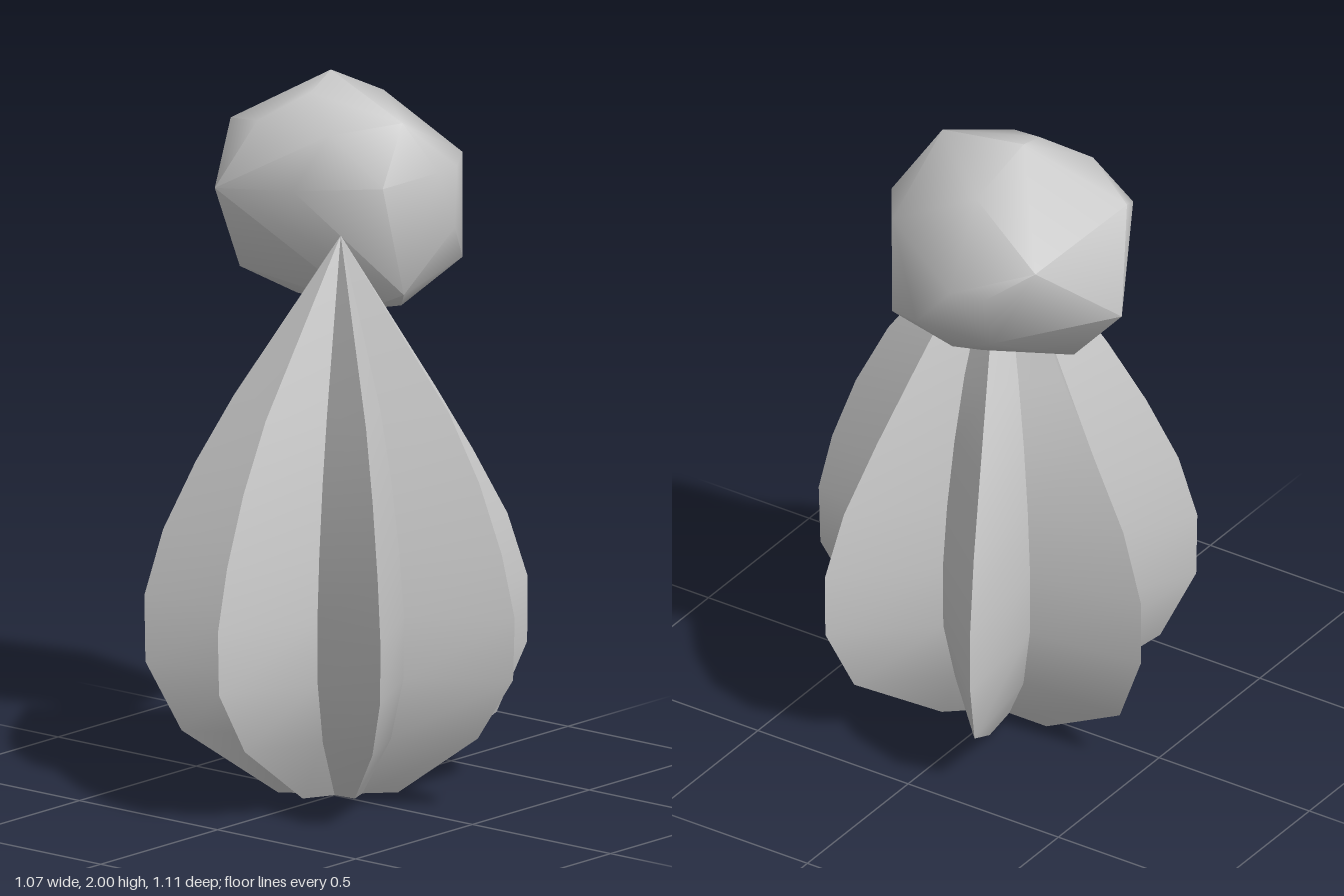
import * as THREE from 'three';
import { toCreasedNormals } from 'three/addons/utils/BufferGeometryUtils.js';
import { ConvexGeometry } from 'three/addons/geometries/ConvexGeometry.js';

const material = new THREE.MeshStandardMaterial({ color: 0xcccccc, side: THREE.DoubleSide });

// Seven-pointed ribbed body, lofted through star-shaped rings
function bodyGeometry() {
  // [y, front ridge radius, rear ridge radius, lean of the ring]
  const rings = [
    [0.022, 0.172, 0.19, 0.1],
    [0.2, 0.42, 0.485, 0.055],
    [0.39, 0.53, 0.57, 0.02],
    [0.575, 0.535, 0.57, 0],
    [0.76, 0.495, 0.5, -0.02],
    [0.955, 0.425, 0.38, -0.02],
    [1.145, 0.33, 0.26, -0.02],
  ];
  // how far each ridge follows the rear profile, from the right ridge via the front
  const rear = [0, 0, 0, 0.7, 1, 1, 0.4];
  const cx = -0.005, cz = 0.035;
  const n = rear.length * 2;
  const positions = [];
  const index = [];
  for (const [y, front, back, lean] of rings) {
    for (let i = 0; i < n; i++) {
      const a = Math.PI - (i / n) * Math.PI * 2;
      const r = i % 2 ? front * 0.525 : THREE.MathUtils.lerp(front, back, rear[i / 2]);
      const x = Math.cos(a) * r, z = Math.sin(a) * r;
      positions.push(cx + x, y + lean * (z - 0.6 * x), cz + z);
    }
  }
  const apex = positions.length / 3;
  positions.push(-0.02, 1.61, 0.04, cx, 0.025, cz);
  const last = (rings.length - 1) * n;
  for (let i = 0; i < n; i++) {
    const j = (i + 1) % n;
    for (let k = 0; k < rings.length - 1; k++) {
      const a = k * n + i, b = k * n + j;
      index.push(a, b + n, a + n, a, b, b + n);
    }
    index.push(last + i, last + j, apex);
    index.push(j, i, apex + 1);
  }
  const g = new THREE.BufferGeometry();
  g.setAttribute('position', new THREE.Float32BufferAttribute(positions, 3));
  g.setIndex(index);
  return toCreasedNormals(g, 0.85);
}

// Lumpy ball leaning against the tip of the body
function ballGeometry() {
  const corners = [
    // crown
    [0.21, 2.0, -0.19], [0.4, 1.91, -0.16], [0.1, 1.96, -0.17],
    [0.0, 1.88, -0.02], [0.15, 1.91, 0.12], [0.0, 1.88, -0.28],
    // back
    [0.1, 1.84, -0.46], [0.45, 1.77, -0.39], [0.26, 1.59, -0.55],
    [-0.11, 1.7, -0.34], [0.26, 1.41, -0.39], [0.015, 1.45, -0.355],
    // sides
    [0.51, 1.67, -0.26], [0.53, 1.67, -0.16], [0.49, 1.51, -0.02],
    [0.43, 1.77, 0.1], [-0.06, 1.72, -0.1], [0.46, 1.5, -0.25],
    // front
    [0.03, 1.75, 0.15], [0.3, 1.77, 0.19], [0.21, 1.77, 0.2],
    [0.28, 1.6, 0.2], [0.12, 1.43, 0.15], [0.43, 1.47, 0.1],
    // underside
    [0.12, 1.37, 0.02], [0.31, 1.335, -0.02], [0.28, 1.335, -0.1],
    [0.1, 1.38, -0.22],
  ];
  const g = new ConvexGeometry(corners.map((c) => new THREE.Vector3(...c)));
  return toCreasedNormals(g, 1);
}

export function createModel() {
  const group = new THREE.Group();
  const add = (name, geometry) => {
    const mesh = new THREE.Mesh(geometry, material);
    mesh.name = name;
    group.add(mesh);
  };
  add('ribbedBody', bodyGeometry());
  add('facetedBall', ballGeometry());
  return group;
}
